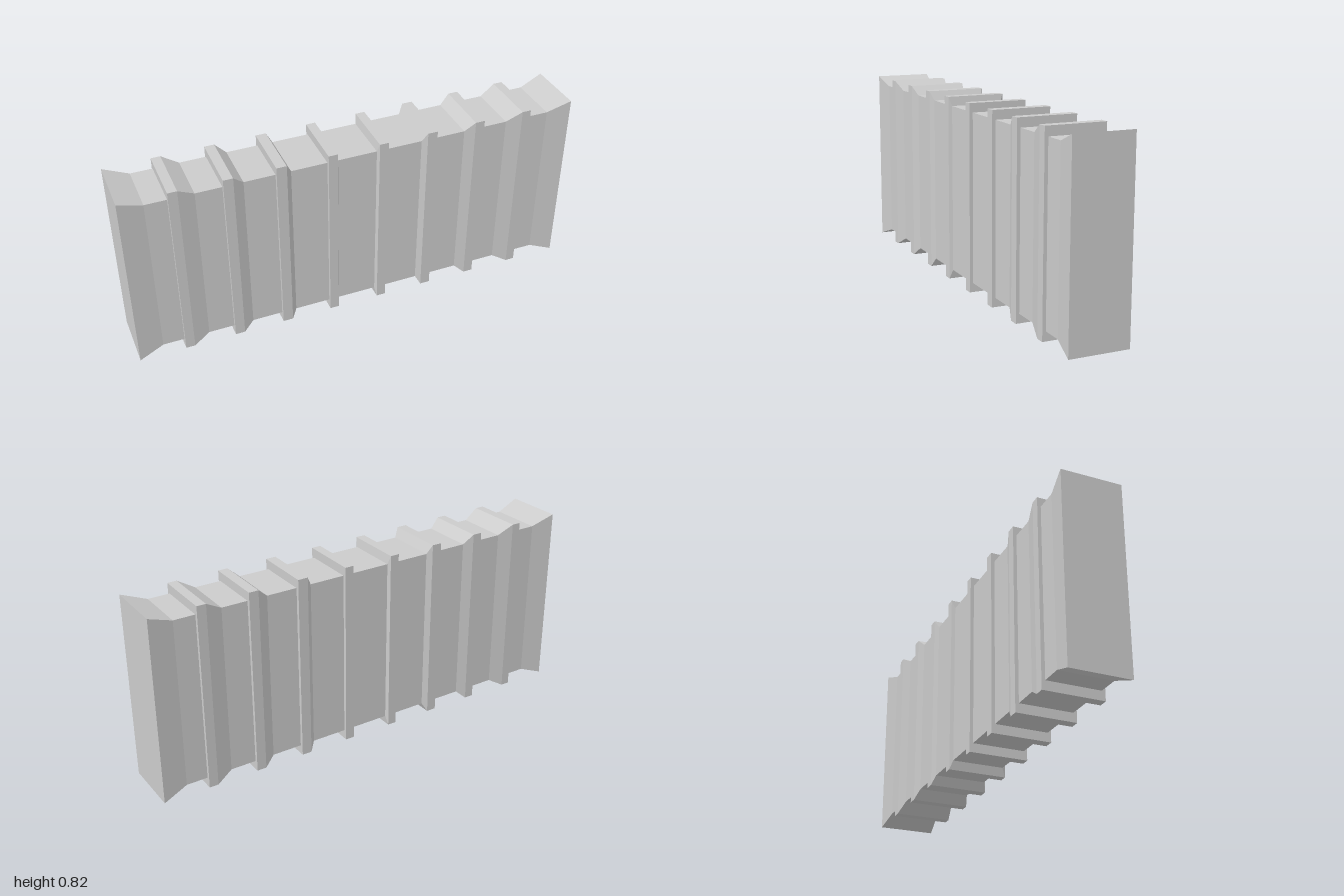
import * as THREE from 'three';

// Half sizes (y, z) of the slim body and of the raised ribs
const BODY = [0.37, 0.115];
const RIB = [0.41, 0.13];
const CENTRE_Y = 0.41;

// Each rib on the -x half: outer step, end of flat crest, foot of slope
const RIBS = [
  [-0.8, -0.76, -0.69],
  [-0.577, -0.535, -0.49],
  [-0.356, -0.312, -0.29],
  [-0.133, -0.093, -0.086],
];

// Rectangular sections along x, mirrored about the middle
function sections() {
  const half = [[-1, RIB], [-0.893, BODY]];
  for (const [step, crest, foot] of RIBS) {
    half.push([step, BODY], [step, RIB], [crest, RIB], [foot, BODY]);
  }
  const mirrored = half.map(([x, size]) => [-x, size]).reverse();
  return [...half, ...mirrored];
}

// Skin the sections with flat quads and close both ends
function loftRectangles(list) {
  const rings = list.map(([x, [h, d]]) => [
    [x, h, d], [x, h, -d], [x, -h, -d], [x, -h, d],
  ]);
  const positions = [];
  const quad = (a, b, c, d) => positions.push(...a, ...b, ...c, ...a, ...c, ...d);

  for (let i = 0; i < rings.length - 1; i++) {
    const p = rings[i], q = rings[i + 1];
    for (let k = 0; k < 4; k++) {
      const n = (k + 1) % 4;
      quad(p[k], q[k], q[n], p[n]);
    }
  }
  quad(...rings[0]);
  quad(...[...rings[rings.length - 1]].reverse());

  const geometry = new THREE.BufferGeometry();
  geometry.setAttribute('position', new THREE.Float32BufferAttribute(positions, 3));
  geometry.computeVertexNormals();
  return geometry;
}

export function createModel() {
  const group = new THREE.Group();
  group.name = 'ribbedBlock';
  const material = new THREE.MeshStandardMaterial({ color: 0xcccccc, flatShading: true });
  const body = new THREE.Mesh(loftRectangles(sections()), material);
  body.name = 'ribbedBody';
  body.position.y = CENTRE_Y;
  group.add(body);
  return group;
}
